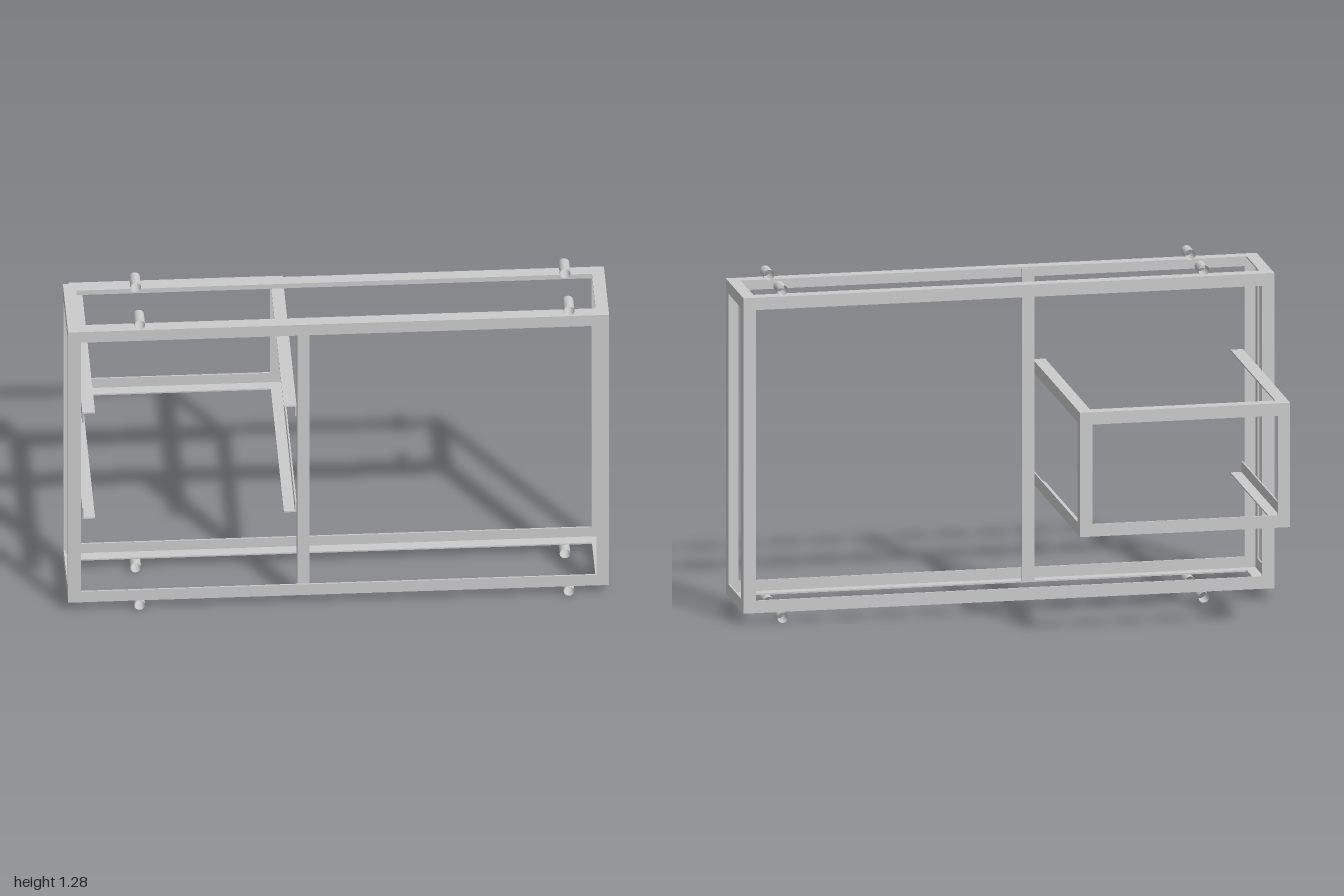
import * as THREE from 'three';

const W = 0.047;  // flange width of the angle iron
const T = 0.006;  // flange thickness
const steel = new THREE.MeshStandardMaterial({ color: 0xcccccc });
const openSteel = new THREE.MeshStandardMaterial({ color: 0xcccccc, side: THREE.DoubleSide });
const AXES = ['x', 'y', 'z'];

// L-profile bar along axis a from lo to hi. (u, v) is its outer corner on the next
// two axes in cyclic order; su, sv (+1 / -1) say which way the flanges point.
function angleBar(name, a, lo, hi, u, v, su, sv) {
  const profile = [[0, 0], [W, 0], [W, T], [T, T], [T, W], [0, W]];
  const shape = new THREE.Shape(profile.map(([p, q]) => new THREE.Vector2(u + su * p, v + sv * q)));
  const geo = new THREE.ExtrudeGeometry(shape, { depth: hi - lo, bevelEnabled: false });
  geo.translate(0, 0, lo);
  const unit = [0, 1, 2].map(i => new THREE.Vector3().setComponent(i, 1));
  geo.applyMatrix4(new THREE.Matrix4().makeBasis(unit[(a + 1) % 3], unit[(a + 2) % 3], unit[a]));
  const mesh = new THREE.Mesh(geo, steel);
  mesh.name = name;
  return mesh;
}

// Angle-iron edges of a box; keep(axis, corner) may leave some edges out
function boxFrame(name, min, max, keep = () => true) {
  const frame = new THREE.Group();
  frame.name = name;
  for (let a = 0; a < 3; a++) {
    const b = (a + 1) % 3, c = (a + 2) % 3;
    for (const su of [1, -1]) for (const sv of [1, -1]) {
      const corner = [0, 0, 0];
      corner[b] = su > 0 ? min[b] : max[b];
      corner[c] = sv > 0 ? min[c] : max[c];
      if (!keep(a, corner)) continue;
      frame.add(angleBar(`${name}Bar_${AXES[a]}`, a, min[a], max[a], corner[b], corner[c], su, sv));
    }
  }
  return frame;
}

export function createModel() {
  const model = new THREE.Group();
  model.name = 'angleIronFrame';

  // Main upright frame
  model.add(boxFrame('mainFrame', [-1, 0.044, 0.113], [1, 1.241, 0.437]));

  // Smaller bay projecting to the back, open at its front end
  const front = 0.43;
  model.add(boxFrame('rearBay', [-0.947, 0.408, -0.437], [-0.155, 0.88, front],
    (a, corner) => a === 2 || corner[2] < 0));

  // Upright between the two front openings, corner edge at the back
  model.add(angleBar('frontDivider', 1, 0.05, 1.235, 0.384, -0.152, 1, 1));

  // Short hinge tubes above and below the main frame
  const tubeGeo = new THREE.CylinderGeometry(0.02, 0.02, 0.073, 24, 1, true).rotateX(Math.PI / 2);
  for (const x of [-0.735, 0.852])
    for (const y of [0.022, 1.263])
      for (const z of [0.15, 0.4]) {
        const tube = new THREE.Mesh(tubeGeo, openSteel);
        tube.name = 'hingeTube';
        tube.position.set(x, y, z);
        model.add(tube);
      }

  return model;
}
